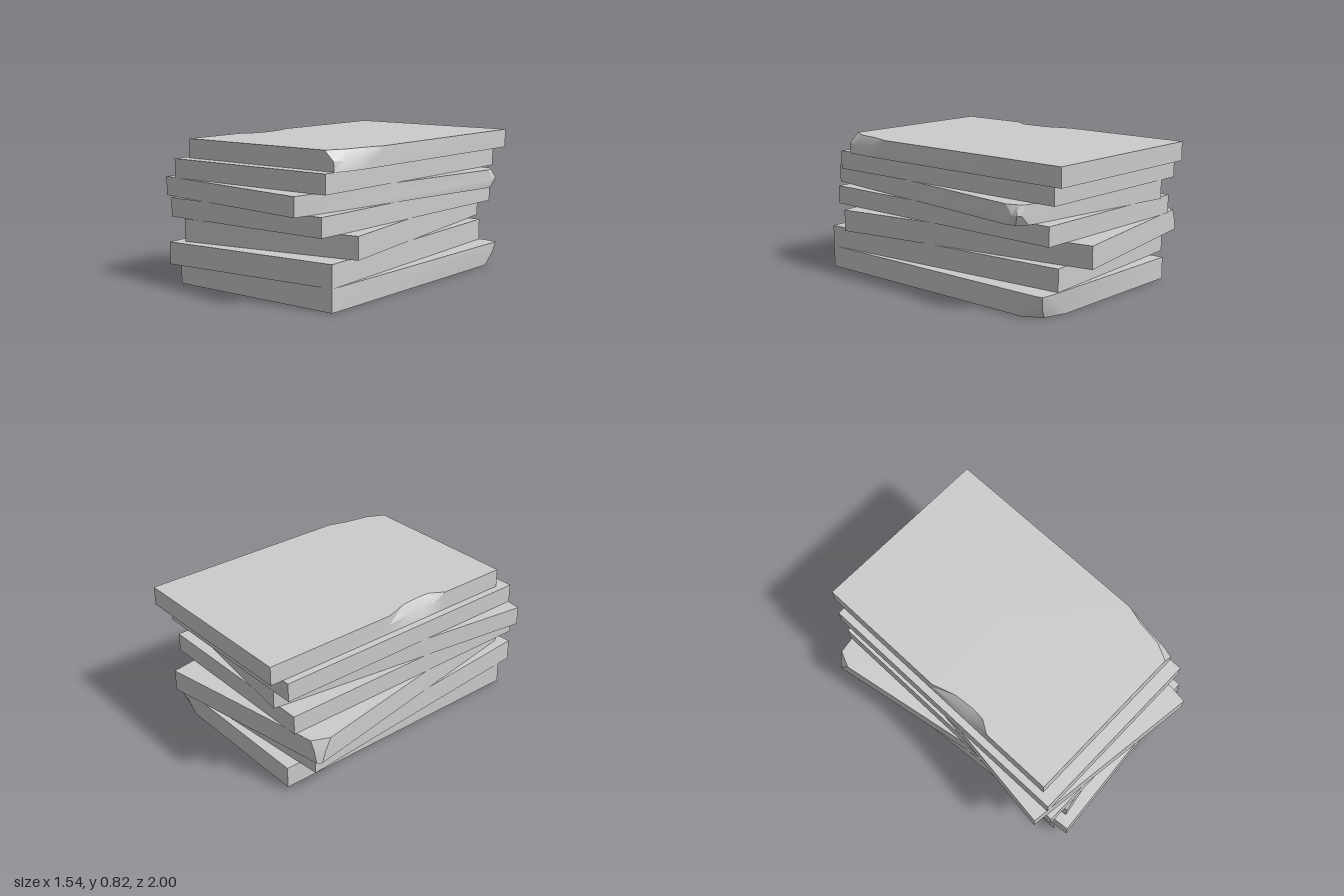
import * as THREE from 'three';
import { toCreasedNormals } from 'three/addons/utils/BufferGeometryUtils.js';

const W = 0.553, L = 0.828; // half width and half length of a slab

// Ring order: front left, front right, back right, back left
const CORNERS = [[-1, 1], [1, 1], [1, -1], [-1, -1]];

// Each slab: bottom, top, centre x, centre z, turn in degrees, and chips.
// A chip replaces a corner by points at three levels (bottom, middle, top),
// each point being its inward distance [across, along] from that corner.
const SLABS = [
  { y0: 0, y1: 0.128, x: 0.055, z: 0.01, turn: 9.8, chips: { 2: [
    [[0, 0.14], [0.06, 0.04], [0.2, 0]],
    [[0, 0.09], [0.02, 0.02], [0.12, 0]],
    [[0, 0.05], [0.008, 0.008], [0.08, 0]]] } },
  { y0: 0.128, y1: 0.256, x: -0.015, z: 0.045, turn: 5.2 },
  { y0: 0.256, y1: 0.384, x: -0.02, z: -0.06, turn: 0, chips: { 3: [
    [[0.02, 0], [0, 0.02]],
    [[0.035, 0], [0, 0.05]],
    [[0.06, 0], [0, 0.09]]] } },
  { y0: 0.384, y1: 0.494, x: -0.005, z: 0.01, turn: 9.8 },
  { y0: 0.494, y1: 0.604, x: 0.005, z: 0.045, turn: 17.4, chips: { 2: [
    [[0, 0.1], [0.02, 0.035], [0.08, 0]],
    [[0, 0.04], [0.005, 0.01], [0.03, 0]],
    [[0, 0.09], [0.03, 0.03], [0.06, 0]]] } },
  { y0: 0.604, y1: 0.714, x: 0, z: -0.022, turn: 9.8 },
  { y0: 0.714, y1: 0.825, x: 0.055, z: -0.09, turn: 9.8, chips: {
    1: [
      [[0.045, 0], [0.02, 0.04], [0.004, 0.18], [0, 0.28]],
      [[0.05, 0], [0.03, 0.06], [0.012, 0.2], [0, 0.3]],
      [[0.11, 0], [0.058, 0.1], [0.034, 0.25], [0, 0.36]]],
    3: [
      [[0, 0], [0, 0.81], [0, 0.95], [0, 1.07], [0, 1.15], [0, 1.23]],
      [[0, 0], [0, 0.81], [0.01, 0.95], [0.018, 1.07], [0.015, 1.15], [0, 1.23]],
      [[0, 0], [0, 0.81], [0.045, 0.95], [0.055, 1.07], [0.05, 1.15], [0, 1.23]]] } },
];

// Outline of a slab at one level, with chipped corners cut in
function outline(chips, level) {
  return CORNERS.flatMap(([sx, sz], i) =>
    (chips[i] ? chips[i][level] : [[0, 0]]).map(([a, b]) => [sx * (W - a), sz * (L - b)]));
}

// Closed solid from three stacked outlines
function slabGeometry({ y0, y1, chips = {} }) {
  const h = y1 - y0;
  const rings = [0, 1, 2].map((k) =>
    outline(chips, k).map(([x, z]) => [x, h * k / 2, z]));
  const pos = [];
  const tri = (a, b, c) => pos.push(...a, ...b, ...c);
  const n = rings[0].length;
  for (let i = 0; i < n; i++) {
    const j = (i + 1) % n;
    for (let k = 0; k < 2; k++) {
      const lo = rings[k], hi = rings[k + 1];
      tri(lo[i], lo[j], hi[j]);
      tri(lo[i], hi[j], hi[i]);
    }
    tri([0, h, 0], rings[2][i], rings[2][j]);
    tri([0, 0, 0], rings[0][j], rings[0][i]);
  }
  const geo = new THREE.BufferGeometry();
  geo.setAttribute('position', new THREE.Float32BufferAttribute(pos, 3));
  return toCreasedNormals(geo, 0.5);
}

export function createModel() {
  const group = new THREE.Group();
  group.name = 'slabStack';
  const material = new THREE.MeshStandardMaterial({ color: 0xcccccc });
  SLABS.forEach((slab, i) => {
    const mesh = new THREE.Mesh(slabGeometry(slab), material);
    mesh.name = `slab${i + 1}`;
    mesh.position.set(slab.x, slab.y0, slab.z);
    mesh.rotation.y = -THREE.MathUtils.degToRad(slab.turn);
    group.add(mesh);
  });
  return group;
}
